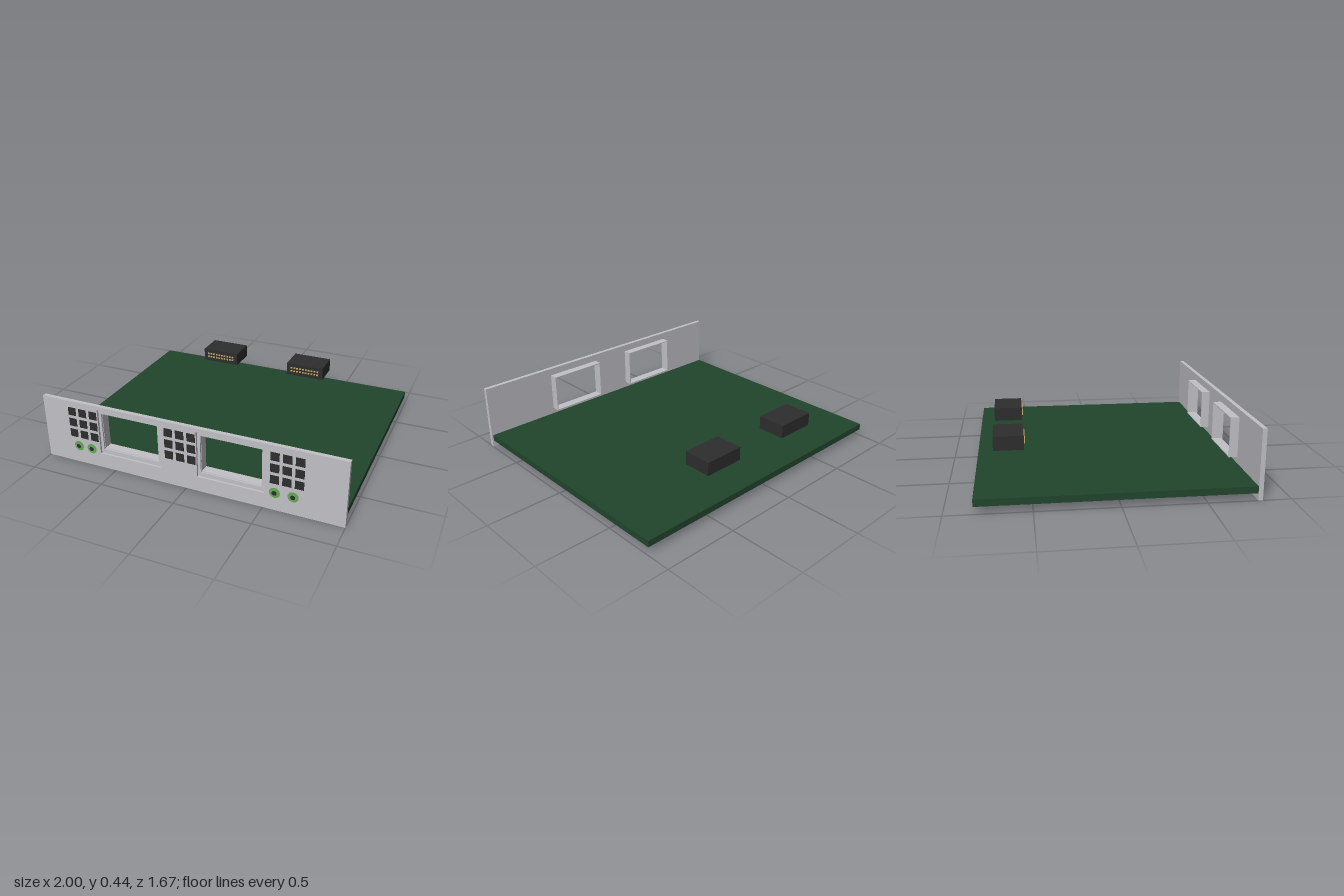
import * as THREE from 'three';

const mat = (name, color) => {
  const m = new THREE.MeshStandardMaterial({ color });
  m.name = name;
  return m;
};

// Rectangle outline given by its edges
function rect(Type, x0, x1, y0, y1) {
  const r = new Type();
  r.moveTo(x0, y0);
  r.lineTo(x1, y0);
  r.lineTo(x1, y1);
  r.lineTo(x0, y1);
  r.closePath();
  return r;
}

export function createModel() {
  const model = new THREE.Group();
  const metal = mat('panel metal', 0xc1c1c6);
  const green = mat('board green', 0x20452c);
  const black = mat('black plastic', 0x2d2d2d);
  const lime = mat('indicator green', 0x62ab52);
  const gold = mat('contact gold', 0xc4ab62);

  const add = (name, geometry, material, x = 0, y = 0, z = 0, parent = model) => {
    const mesh = new THREE.Mesh(geometry, material);
    mesh.name = name;
    mesh.position.set(x, y, z);
    parent.add(mesh);
    return mesh;
  };
  const plate = (shape, depth) =>
    new THREE.ExtrudeGeometry(shape, { depth, bevelEnabled: false });

  // Circuit board
  add('circuitBoard', new THREE.BoxGeometry(1.99, 0.042, 1.63), green, -0.004, 0.066, -0.017);

  // Front panel in two layers, giving each opening a shallow stepped rim
  const ports = [-0.387, 0.291];
  const layer = (name, halfWidth, y0, y1, z, depth) => {
    const shape = rect(THREE.Shape, -1, 1, 0, 0.435);
    for (const x of ports) shape.holes.push(rect(THREE.Path, x - halfWidth, x + halfWidth, y0, y1));
    add(name, plate(shape, depth), metal, 0, 0, z);
  };
  layer('panelBack', 0.196, 0.13, 0.383, 0.799, 0.014);
  layer('panelFront', 0.215, 0.102, 0.41, 0.813, 0.014);

  // Thin collars behind the openings, and the connectors at the rear
  for (const x of ports) {
    const collar = rect(THREE.Shape, x - 0.199, x + 0.199, 0.127, 0.386);
    collar.holes.push(rect(THREE.Path, x - 0.193, x + 0.193, 0.133, 0.38));
    add('portCollar', plate(collar, 0.06), metal, 0, 0, 0.743);

    const connector = new THREE.Group();
    connector.name = 'connector';
    connector.position.set(x, 0.254, -0.629);
    model.add(connector);
    add('connectorBody', new THREE.BoxGeometry(0.275, 0.09, 0.19), black, 0, 0, 0, connector);
    const pin = new THREE.BoxGeometry(0.013, 0.01, 0.008);
    for (const y of [-0.011, 0.013])
      for (let i = 0; i < 10; i++)
        add('contactPin', pin, gold, (i - 4.5) * 0.0222, y, 0.098, connector);
  }

  // Three grids of square vents
  const vent = new THREE.BoxGeometry(0.055, 0.055, 0.003);
  for (const x of [-0.713, -0.034, 0.645])
    for (let i = -1; i <= 1; i++)
      for (let j = -1; j <= 1; j++)
        add('vent', vent, black, x + i * 0.0755, 0.287 + j * 0.0765, 0.8275);

  // Round indicators with dark centres
  const ring = new THREE.RingGeometry(0.012, 0.034, 32);
  const centre = new THREE.CylinderGeometry(0.015, 0.015, 0.002, 24).rotateX(Math.PI / 2);
  for (const x of [-0.762, -0.666, 0.572, 0.685]) {
    add('indicatorRing', ring, lime, x, 0.121, 0.8285);
    add('indicatorCentre', centre, black, x, 0.121, 0.834);
  }
  return model;
}
